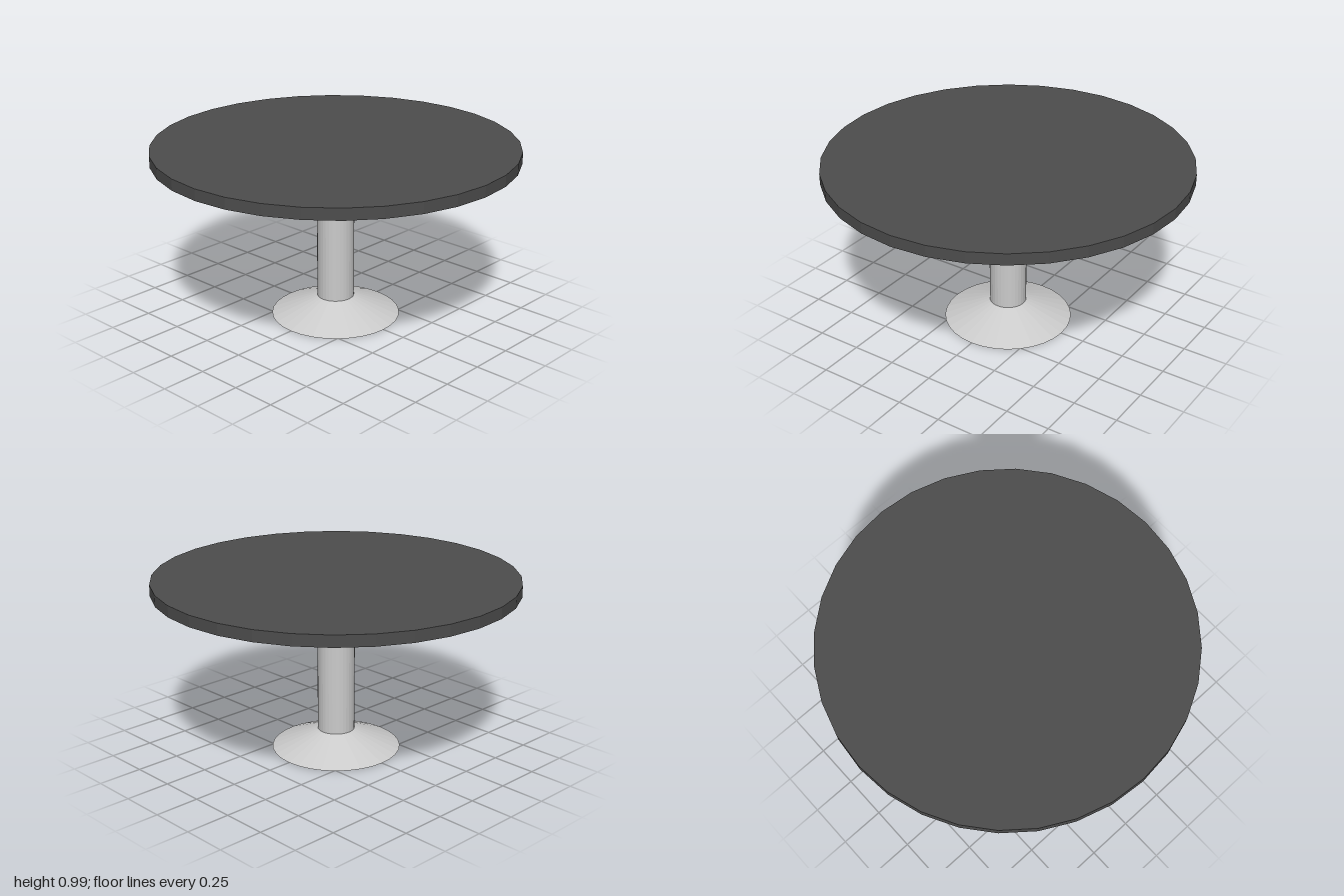
import * as THREE from 'three';

const SIDES = 32;

export function createModel() {
  const model = new THREE.Group();
  model.name = 'pedestalTable';

  const grey = new THREE.MeshStandardMaterial({ color: 0xcccccc, flatShading: true });
  const dark = new THREE.MeshStandardMaterial({ color: 0x4d4d4d, flatShading: true });

  // Adds a round section standing between two heights
  function addRound(name, bottomRadius, topRadius, y0, y1, material) {
    const geometry = new THREE.CylinderGeometry(topRadius, bottomRadius, y1 - y0, SIDES);
    const mesh = new THREE.Mesh(geometry, material);
    mesh.name = name;
    mesh.position.y = (y0 + y1) / 2;
    model.add(mesh);
  }

  // Flared foot, column and the flared bracket under the top
  addRound('base', 0.36, 0.103, 0, 0.105, grey);
  addRound('column', 0.103, 0.103, 0.105, 0.86, grey);
  addRound('topBracket', 0.103, 0.245, 0.86, 0.93, grey);

  // Round table top
  addRound('tableTop', 1, 1, 0.93, 0.993, dark);

  return model;
}
